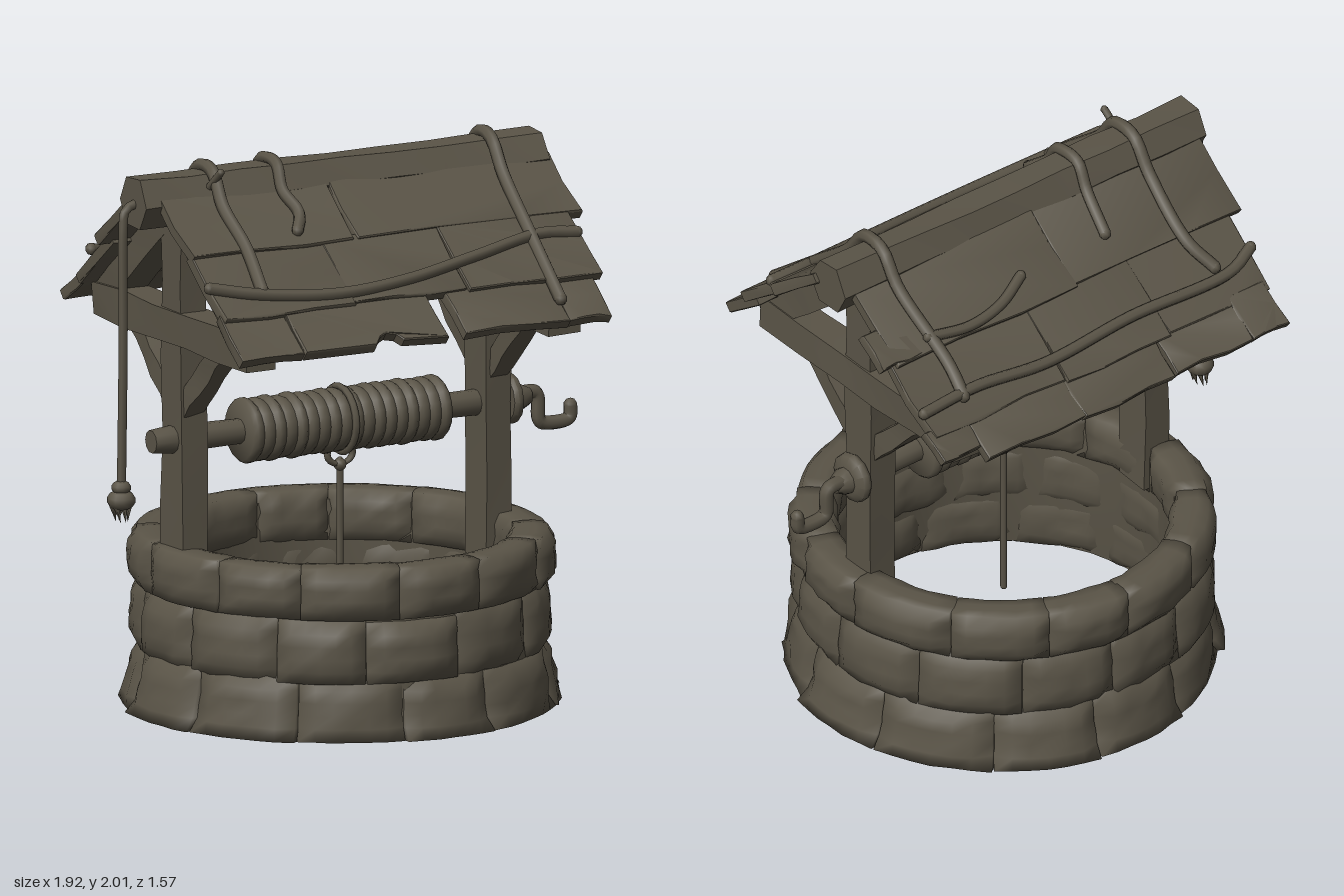
import * as THREE from 'three';
import { mergeVertices, toCreasedNormals } from 'three/addons/utils/BufferGeometryUtils.js';

const V = (x, y, z) => new THREE.Vector3(x, y, z);

export function createModel() {
  const well = new THREE.Group();
  well.name = 'well';
  const mat = new THREE.MeshStandardMaterial({ color: 0x5a5447 });
  mat.name = 'weathered brown grey';

  let seed = 7;
  const rnd = (a = -1, b = 1) => {
    seed = (seed * 16807) % 2147483647;
    return a + (b - a) * (seed / 2147483647);
  };

  const add = (name, geo, parent = well) => {
    const m = new THREE.Mesh(geo, mat);
    m.name = name;
    parent.add(m);
    return m;
  };
  // Weld a geometry, move its vertices by a rule, then smooth it
  const reshape = (geo, rule, crease) => {
    geo.deleteAttribute('uv');
    geo.deleteAttribute('normal');
    const g = mergeVertices(geo, 1e-4);
    const p = g.attributes.position, v = V(0, 0, 0);
    for (let i = 0; i < p.count; i++) {
      v.fromBufferAttribute(p, i);
      rule(v);
      p.setXYZ(i, v.x, v.y, v.z);
    }
    g.computeVertexNormals();
    return crease ? toCreasedNormals(g, crease) : g;
  };
  // Slightly uneven timber between two points; w runs along x
  const beam = (name, a, b, w, d) => {
    const dir = b.clone().sub(a);
    const geo = reshape(new THREE.BoxGeometry(w, dir.length(), d, 1, 5, 1), v => {
      v.x += rnd() * 0.006;
      v.z += rnd() * 0.006;
    }, 0.7);
    const m = add(name, geo);
    m.position.copy(a).add(b).multiplyScalar(0.5);
    m.quaternion.setFromUnitVectors(V(0, 1, 0), dir.normalize());
    return m;
  };
  const tube = (name, pts, r, n = 24, sides = 7) => {
    const curve = new THREE.CatmullRomCurve3(pts, false, 'centripetal');
    const m = add(name, new THREE.TubeGeometry(curve, n, r, sides));
    [0, 1].forEach(k => { // rounded ends
      const cap = add(name + 'End', new THREE.SphereGeometry(r, sides, 5));
      cap.position.copy(curve.getPoint(k));
    });
    return m;
  };
  // Straight turned part along x from [radius, x] pairs
  const turned = (name, pts, sides = 16) => {
    const geo = new THREE.LatheGeometry(pts.map(([r, x]) => new THREE.Vector2(r, x)), sides);
    geo.rotateZ(-Math.PI / 2);
    const m = add(name, toCreasedNormals(geo, 0.9));
    m.position.y = 1.01;
    return m;
  };

  // Wall: solid core ring with three courses of rounded stones
  const core = [[0.65, 0.005], [0.74, 0.005], [0.705, 0.3], [0.7, 0.58], [0.62, 0.58], [0.62, 0.3], [0.65, 0.005]];
  add('wallCore', toCreasedNormals(
    new THREE.LatheGeometry(core.map(p => new THREE.Vector2(...p)), 32), 0.5));
  const courses = [
    { n: 12, y0: 0, y1: 0.215, inner: 0.625, low: 0.775, high: 0.75, off: 0.3 },
    { n: 13, y0: 0.2, y1: 0.44, inner: 0.61, low: 0.755, high: 0.74, off: 0.1 },
    { n: 13, y0: 0.43, y1: 0.62, inner: 0.59, low: 0.755, high: 0.755, off: 0.24 },
  ];
  courses.forEach((c, row) => {
    const joints = Array.from({ length: c.n }, (_, i) => c.off + (i + rnd() * 0.09) * Math.PI * 2 / c.n);
    joints.push(joints[0] + Math.PI * 2);
    for (let i = 0; i < c.n; i++) {
      const a0 = joints[i], a1 = joints[i + 1] + 0.012;
      const push = rnd() * 0.01, toe = row === 0 ? rnd(0, 0.03) : 0;
      const top = rnd() * (row === 2 ? 0.005 : 0.015);
      add('wallStone', reshape(new THREE.BoxGeometry(2, 2, 2, 6, 5, 3), v => {
        const u = v.x, h = v.y, w = v.z;
        const edge = 1 - (1 - Math.pow(Math.abs(u), 6)) * (1 - Math.pow(Math.abs(h), 6));
        const t = (h + 1) / 2;
        const foot = (1 - t) * (1 - t) * toe;
        const keep = row === 0 && h < -0.9 ? 0.25 : 1;
        const outer = c.low + (c.high - c.low) * t + push + foot - 0.03 * edge * keep;
        const inner = c.inner + 0.025 * edge;
        const r = inner + (outer - inner) * (w + 1) / 2 + rnd() * 0.006;
        const round = Math.abs(w) > 0.9 ? 0.96 : 1;
        const a = (a0 + a1) / 2 + u * round * (a1 - a0) / 2;
        const hh = h > 0 || row > 0 ? h * round : h;
        const y = c.y0 + (c.y1 + top - c.y0) * (hh + 1) / 2;
        v.set(Math.sin(a) * r - 0.005, y, Math.cos(a) * r - 0.005);
      }));
    }
  });

  // Two timber end frames
  [-0.645, 0.595].forEach(x => {
    beam('post', V(x, 0.45, 0), V(x, 1.86, 0), 0.105, 0.145);
    beam('tieBeam', V(x, 1.42, 0.55), V(x, 1.42, -0.55), 0.125, 0.125);
    [1, -1].forEach(s => {
      beam('rafter', V(x, 1.41, 0.54 * s), V(x, 1.845, 0.01 * s), 0.11, 0.105);
      beam('brace', V(x, 1.12, 0.03 * s), V(x, 1.4, 0.32 * s), 0.075, 0.075);
    });
  });

  // Six-sided ridge log
  const ridge = new THREE.CylinderGeometry(0.1, 0.1, 1.64, 6, 8);
  ridge.rotateZ(Math.PI / 2);
  add('ridgeBeam', reshape(ridge, v => {
    v.y += rnd() * 0.006;
    v.z += rnd() * 0.006;
  }, 0.5)).position.set(-0.03, 1.885, -0.005);

  // Roof boards in three rows a side: [x from, x to, slope from, slope to, notch in lower edge]
  const rows = {
    front: [
      [-0.78, -0.12, 0.06, 0.34], [-0.1, 0.8, 0.06, 0.34],
      [-0.77, -0.25, 0.32, 0.63], [-0.245, 0.22, 0.32, 0.62], [0.225, 0.75, 0.32, 0.63],
      [-0.77, -0.53, 0.6, 0.815], [-0.52, 0.05, 0.6, 0.82, [-0.24, -0.12, 0.05]],
      [0.13, 0.55, 0.6, 0.815], [0.56, 0.73, 0.6, 0.81],
    ],
    back: [ // mirrored x
      [-0.8, -0.64, 0.25, 0.39], [-0.74, 0.06, 0.06, 0.4], [0.065, 0.82, 0.06, 0.39],
      [-0.75, -0.16, 0.37, 0.69], [-0.155, 0.3, 0.37, 0.7], [0.305, 0.77, 0.37, 0.69],
      [-0.77, -0.6, 0.66, 0.78], [-0.59, -0.17, 0.66, 0.835],
      [-0.16, 0.25, 0.66, 0.84], [0.255, 0.59, 0.66, 0.835], [0.6, 0.75, 0.66, 0.835],
    ],
  };
  Object.entries(rows).forEach(([side, planks], k) => {
    const turn = new THREE.Group();
    turn.name = side + 'Roof';
    turn.rotation.y = k * Math.PI;
    well.add(turn);
    const slope = new THREE.Group();
    slope.name = side + 'Slope';
    slope.position.y = 1.912;
    slope.rotation.x = -0.883;
    turn.add(slope);
    planks.forEach(([x0, x1, s0, s1, notch]) => {
      const j = () => rnd() * 0.01;
      const sm = (s0 + s1) / 2;
      const pts = [[x0, -s0], [x0 + j(), -sm], [x0 + j(), -s1]];
      if (notch) {
        const [n0, n1, d] = notch, w = n1 - n0;
        pts.push([n0, -s1], [n0 + w * 0.25, -s1 + d * 0.7], [n0 + w * 0.5, -s1 + d],
          [n0 + w * 0.85, -s1 + d * 0.8], [n1, -s1 + 0.01]);
      } else {
        pts.push([x0 + (x1 - x0) * 0.35, -s1 + j()], [x0 + (x1 - x0) * 0.7, -s1 + j()]);
      }
      pts.push([x1 + j(), -s1], [x1 + j(), -sm], [x1, -s0]);
      const shape = new THREE.Shape(pts.map(p => new THREE.Vector2(...p)));
      const geo = new THREE.ExtrudeGeometry(shape, {
        depth: 0.035, bevelEnabled: true, bevelThickness: 0.004, bevelSize: 0.004, bevelSegments: 1,
      });
      const lift = rnd(0, 0.008), skew = rnd() * 0.01;
      // Lower edge of each board rides over the next one
      add('roofPlank', reshape(geo, v => {
        v.z += lift + skew * v.x + 0.014 * (-v.y - s0) / (s1 - s0) + rnd() * 0.003;
      }, 0.6), slope);
    });
  });

  // Vines lashed along and over the roof, bending round the ridge log
  const onRoof = (x, z) => {
    const a = Math.abs(z);
    return V(x, Math.max(1.992 - 0.82 * a, Math.min(1.985, 2.075 - 1.75 * a)), z);
  };
  const vine = (pts, r = 0.022) => tube('roofVine', pts.map(p => onRoof(...p)), r, 40);
  vine([[-0.78, 0.42], [-0.6, 0.46], [-0.3, 0.49], [0, 0.47], [0.3, 0.42], [0.6, 0.37], [0.74, 0.38]]);
  vine([[-0.77, -0.45], [-0.65, -0.49], [-0.2, -0.49], [0.2, -0.51], [0.5, -0.49], [0.75, -0.5]]);
  vine([[-0.6, -0.46], [-0.55, -0.36], [-0.55, -0.15], [-0.555, -0.055], [-0.56, 0.055], [-0.57, 0.15],
    [-0.56, 0.3], [-0.58, 0.45]], 0.024);
  vine([[0.57, -0.5], [0.56, -0.4], [0.59, -0.15], [0.585, -0.055], [0.575, 0.055], [0.57, 0.15],
    [0.56, 0.35], [0.55, 0.6]], 0.024);
  vine([[-0.27, -0.25], [-0.29, -0.12], [-0.3, -0.055], [-0.3, 0.055], [-0.31, 0.12], [-0.29, 0.2], [-0.33, 0.26]]);
  vine([[0.12, -0.26], [0.25, -0.31], [0.4, -0.33], [0.58, -0.31]], 0.02);
  tube('vineTip', [V(-0.58, 1.93, 0.07), V(-0.57, 1.99, 0.13)], 0.014, 4);

  // Windlass: axle, rope-wound drum and end collar
  turned('axle', [[0, -0.78], [0.042, -0.78], [0.05, -0.7], [0.045, -0.4], [0.045, 0.4], [0.05, 0.72], [0.03, 0.76], [0, 0.76]], 10);
  const coils = 18, pitch = 0.81 / coils, drum = [[0, -0.42]];
  for (let i = 0; i < coils; i++) {
    const x = -0.42 + i * pitch, r = 0.116 + rnd() * 0.004;
    drum.push([0.106, x], [r, x + pitch * 0.3], [r, x + pitch * 0.7]);
  }
  drum.push([0.106, 0.39], [0, 0.39]);
  turned('ropeDrum', drum, 18);
  turned('axleCollar', [[0, 0.655], [0.085, 0.655], [0.095, 0.67], [0.09, 0.69], [0.06, 0.705], [0, 0.705]], 12);

  // Crank handle with tight elbows
  tube('crank', [V(0.7, 1.02, -0.01), V(0.785, 1.02, -0.01), V(0.8, 1.005, -0.01), V(0.805, 0.92, -0.01),
    V(0.82, 0.905, -0.01), V(0.92, 0.905, -0.01), V(0.933, 0.918, -0.01), V(0.935, 0.955, -0.01)], 0.026, 44, 8);

  // Well rope with its loop under the drum
  tube('wellRope', [V(-0.01, 0.25, 0), V(-0.01, 0.6, 0), V(-0.01, 0.86, 0)], 0.013, 10);
  const loop = add('ropeLoop', new THREE.TorusGeometry(0.052, 0.014, 6, 16));
  loop.position.set(-0.01, 0.885, 0);
  loop.scale.y = 0.75;
  add('ropeKnot', new THREE.SphereGeometry(0.024, 8, 6)).position.set(-0.01, 0.845, 0);
  const tie = add('drumTie', new THREE.TorusGeometry(0.118, 0.013, 6, 20));
  tie.rotation.y = Math.PI / 2;
  tie.position.set(-0.01, 1.01, 0);

  // Loose rope hanging from the ridge, ending in a knot and frayed tassel
  tube('hangingRope', [V(-0.76, 1.875, 0), V(-0.85, 1.88, 0), V(-0.89, 1.86, 0.005), V(-0.9, 1.8, 0.01),
    V(-0.9, 1.4, 0.01), V(-0.907, 0.86, 0.01)], 0.017, 40);
  [[0.86, 0.036], [0.815, 0.052]].forEach(([y, r]) => {
    const knot = add('hangingKnot', new THREE.SphereGeometry(r, 10, 7));
    knot.position.set(-0.907, y, 0.01);
    knot.scale.y = 0.75;
  });
  for (let i = 0; i < 7; i++) {
    const a = i * Math.PI * 2 / 7;
    const strand = add('tasselStrand', new THREE.ConeGeometry(0.014, 0.07, 5));
    strand.position.set(-0.907 + Math.sin(a) * 0.026, 0.77, 0.01 + Math.cos(a) * 0.026);
    strand.rotation.set(Math.PI - Math.cos(a) * 0.25, 0, Math.sin(a) * 0.25);
  }
  return well;
}
